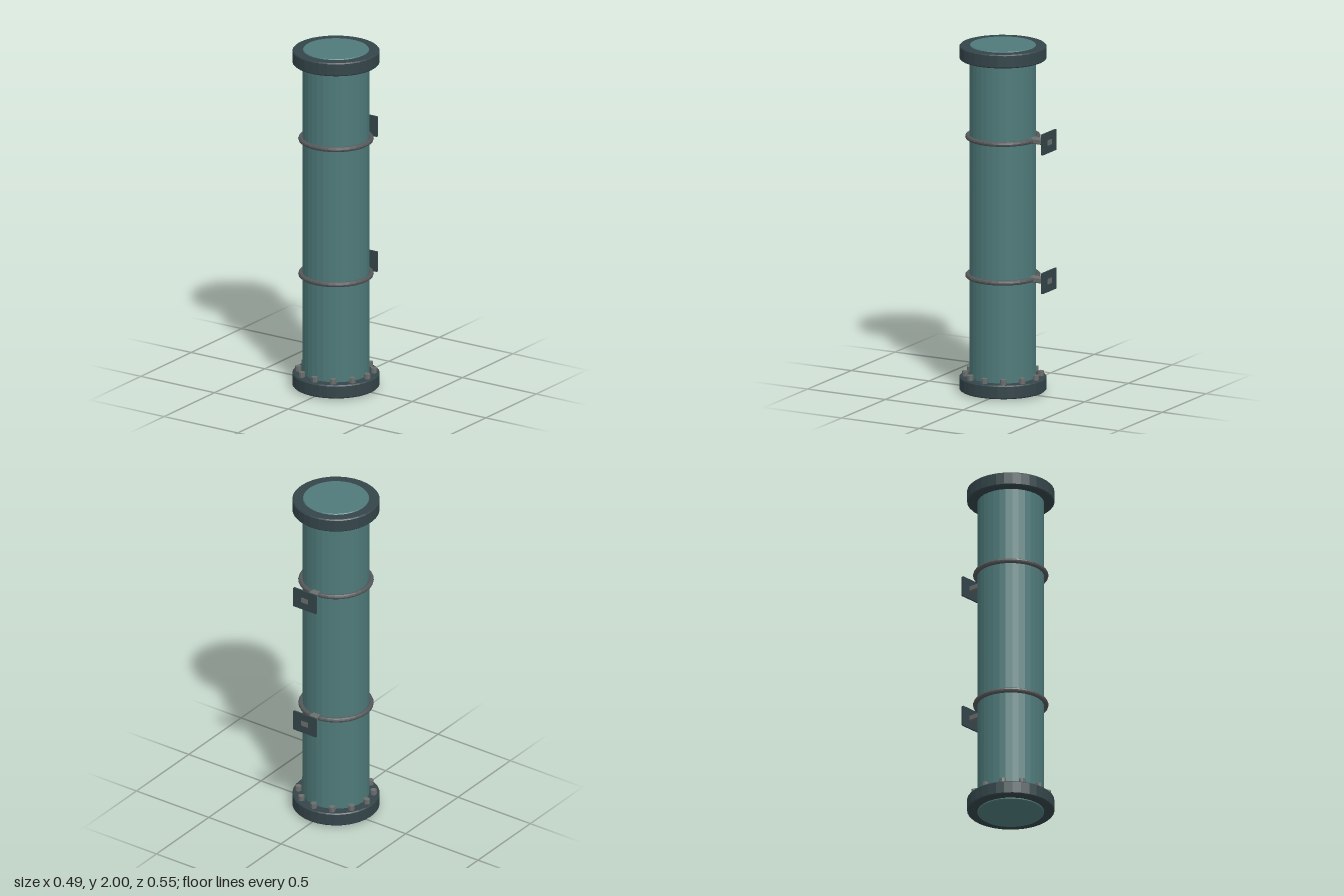
import * as THREE from 'three';

const mat = (color) => new THREE.MeshStandardMaterial({ color, flatShading: true });
const pipeMat = mat(0x4f7a7a);
const flangeMat = mat(0x34454a);
const steelMat = mat(0x6a6e6c);
const ringMat = mat(0x55585a);

// Solid disc or cylinder with chamfered rims, from y0 to y1
function chamferedCylinder(radius, y0, y1, bevel) {
  const profile = [
    [0, y0], [radius - bevel, y0], [radius, y0 + bevel],
    [radius, y1 - bevel], [radius - bevel, y1], [0, y1],
  ].map(([x, y]) => new THREE.Vector2(x, y));
  return new THREE.LatheGeometry(profile, 32);
}

// Box with chamfered long edges, extruded along z
function chamferedBox(w, h, d, c) {
  const x = w / 2, y = h / 2;
  const shape = new THREE.Shape([
    [-x + c, -y], [x - c, -y], [x, -y + c], [x, y - c],
    [x - c, y], [-x + c, y], [-x, y - c], [-x, -y + c],
  ].map(([a, b]) => new THREE.Vector2(a, b)));
  return new THREE.ExtrudeGeometry(shape, { depth: d, bevelEnabled: false }).translate(0, 0, -d / 2);
}

export function createModel() {
  const model = new THREE.Group();
  model.name = 'flangedPipe';
  const body = new THREE.Group();
  body.name = 'pipeAssembly';
  body.position.z = 0.025;
  model.add(body);

  const add = (name, geometry, material, x = 0, y = 0, z = 0) => {
    const mesh = new THREE.Mesh(geometry, material);
    mesh.name = name;
    mesh.position.set(x, y, z);
    body.add(mesh);
    return mesh;
  };

  // Main pipe and end flanges
  add('pipe', chamferedCylinder(0.187, 0, 2, 0.005), pipeMat);
  add('bottomFlange', chamferedCylinder(0.245, 0.01, 0.088, 0.006), flangeMat);
  add('topFlange', chamferedCylinder(0.245, 1.918, 1.996, 0.006), flangeMat);

  // Bolt heads around the bottom flange
  for (let i = 0; i < 12; i++) {
    const a = (i / 12) * Math.PI * 2;
    const bolt = add('flangeBolt', new THREE.CylinderGeometry(0.018, 0.018, 0.04, 8), steelMat,
      Math.sin(a) * 0.212, 0.097, Math.cos(a) * 0.212);
    bolt.rotation.y = a;
  }

  // Clamp rings, each with a wall bracket at the back
  for (const y of [0.67, 1.47]) {
    add('clampRing', new THREE.TorusGeometry(0.198, 0.014, 10, 32).rotateX(Math.PI / 2), ringMat, 0, y);
    add('bracketArm', chamferedBox(0.05, 0.032, 0.126, 0.005), steelMat, 0, y, -0.238);
    add('bracketPlate', chamferedBox(0.16, 0.12, 0.01, 0.003), flangeMat, 0, y, -0.295);
  }
  return model;
}
